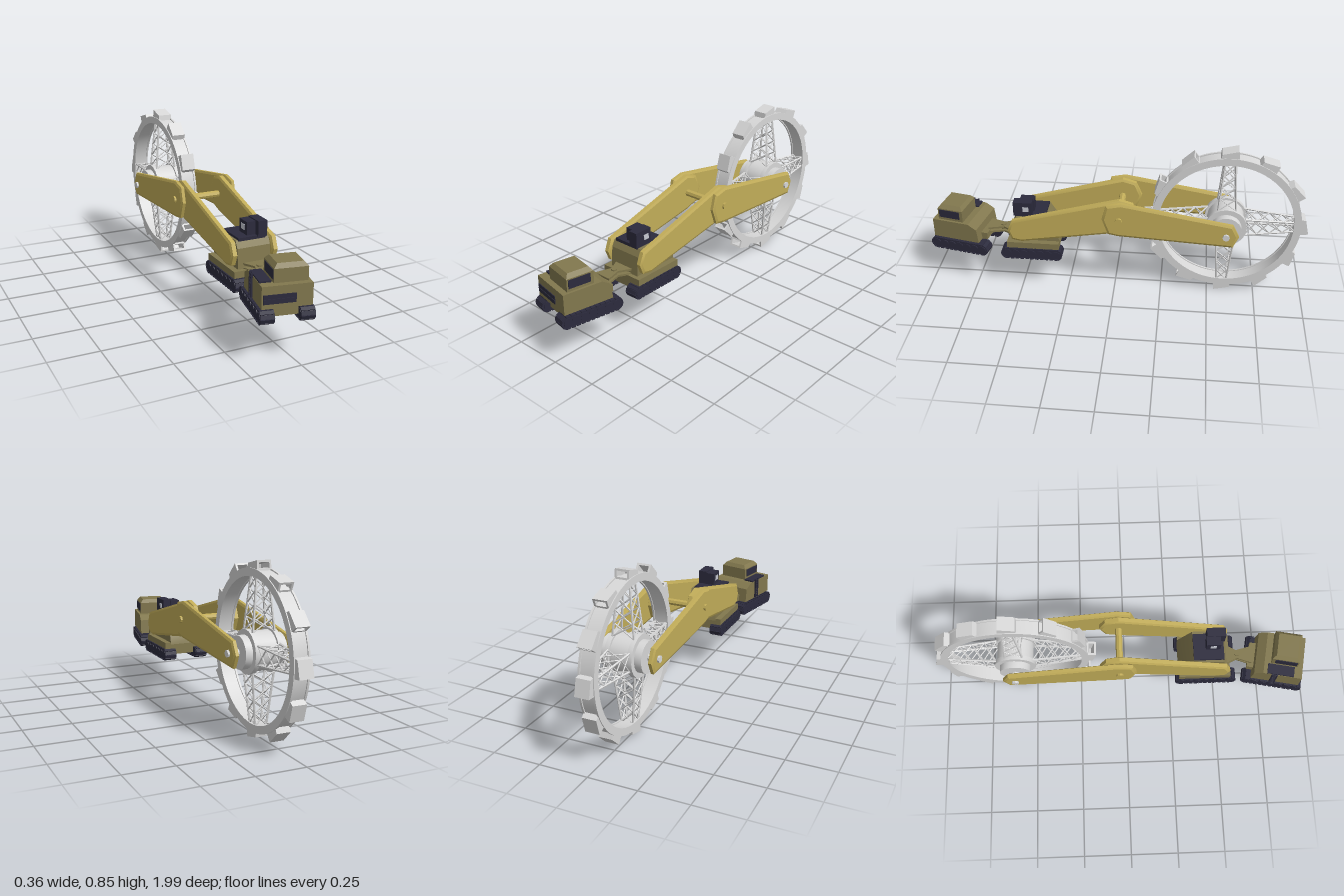
import * as THREE from 'three';
import { toCreasedNormals } from 'three/addons/utils/BufferGeometryUtils.js';

const mat = (name, color) => {
  const m = new THREE.MeshStandardMaterial({ color });
  m.name = name;
  return m;
};
const yellow = mat('boom yellow', 0xc2ad59);
const olive = mat('olive body', 0x82784e);
const dark = mat('dark navy', 0x2c2b3d);
const steel = mat('light steel', 0xd8d8d8);
const glass = mat('pale glass', 0xc6c9d2);

function add(parent, name, geo, material, x = 0, y = 0, z = 0) {
  const m = new THREE.Mesh(toCreasedNormals(geo, 0.4), material);
  m.name = name;
  m.position.set(x, y, z);
  parent.add(m);
  return m;
}
function group(parent, name, x = 0, y = 0, z = 0) {
  const g = new THREE.Group();
  g.name = name;
  g.position.set(x, y, z);
  parent.add(g);
  return g;
}
// box given by its limits on each axis
function box(parent, name, material, [x0, x1], [y0, y1], [z0, z1]) {
  return add(parent, name, new THREE.BoxGeometry(x1 - x0, y1 - y0, z1 - z0), material,
    (x0 + x1) / 2, (y0 + y1) / 2, (z0 + z1) / 2);
}
// side profile of [z, y] points, extruded across x and centred on x = 0
function sideGeo(shape, width, bevel = 0) {
  if (Array.isArray(shape)) shape = new THREE.Shape(shape.map(p => new THREE.Vector2(...p)));
  const depth = width - bevel;
  const g = new THREE.ExtrudeGeometry(shape, {
    depth, curveSegments: 36, bevelEnabled: bevel > 0, bevelSegments: 1,
    bevelThickness: bevel / 2, bevelSize: bevel, bevelOffset: -bevel,
  });
  return g.translate(0, 0, -depth / 2).rotateY(-Math.PI / 2);
}
// cylinder lying along x
const shaft = (r, len, sides) => new THREE.CylinderGeometry(r, r, len, sides).rotateZ(Math.PI / 2);

// thin strut between two points
function strut(parent, name, a, b, r) {
  const dir = b.clone().sub(a);
  const m = add(parent, name, new THREE.CylinderGeometry(r, r, dir.length(), 5), steel);
  m.position.copy(a).add(b).multiplyScalar(0.5);
  m.quaternion.setFromUnitVectors(new THREE.Vector3(0, 1, 0), dir.normalize());
}

// pair of crawler tracks, 0.33 long
function tracks(parent) {
  const r = 0.03, half = 0.13, cy = 0.223;
  const belt = new THREE.Shape();
  belt.absarc(half, 0, r, -Math.PI / 2, Math.PI / 2, false);
  belt.absarc(-half, 0, r, Math.PI / 2, Math.PI * 1.5, false);
  for (const s of [-1, 1]) {
    const t = group(parent, 'track', s * 0.093, cy, 0);
    add(t, 'trackBelt', sideGeo(belt, 0.058), dark);
    for (let i = 0; i < 7; i++) {
      const z = -half + i * half / 3;
      add(t, 'roadWheel', shaft(0.023, 0.066, 12), dark, 0, 0, z);
    }
    for (let i = 0; i < 11; i++) {
      const z = -half + i * half / 5;
      for (const e of [-1, 1]) add(t, 'trackShoe', new THREE.BoxGeometry(0.065, 0.006, 0.018), dark, 0, e * r, z);
    }
    for (const e of [-1, 1]) for (let i = 0; i < 4; i++) {
      const a = (i - 1.5) * 0.65;
      const shoe = add(t, 'endShoe', new THREE.BoxGeometry(0.065, 0.018, 0.006), dark,
        0, r * Math.sin(a), e * (half + r * Math.cos(a)));
      shoe.rotation.x = -a * e;
    }
  }
}

function bucketWheel(parent) {
  const w = group(parent, 'bucketWheel', 0, 0.42, -0.575);
  // rim with thin side flanges
  const ring = (ro, ri) => {
    const s = new THREE.Shape().absarc(0, 0, ro, 0, Math.PI * 2);
    s.holes.push(new THREE.Path().absarc(0, 0, ri, 0, Math.PI * 2));
    return s;
  };
  add(w, 'rim', sideGeo(ring(0.379, 0.352), 0.07), steel);
  for (const s of [-1, 1]) add(w, 'rimFlange', sideGeo(ring(0.385, 0.347), 0.01), steel, s * 0.036);
  // hub
  add(w, 'hubDrum', shaft(0.095, 0.13, 20), steel);
  for (const s of [-1, 1]) {
    add(w, 'hubFlange', shaft(0.107, 0.024, 20), steel, s * 0.06);
    add(w, 'hubCollar', shaft(0.08, 0.04, 20), steel, s * 0.088);
  }
  add(w, 'axle', shaft(0.018, 0.336, 8), steel);
  // lattice spokes
  const V = (x, y, z) => new THREE.Vector3(x, y, z);
  const corner = (k, t) => {
    const hx = 0.056 - 0.026 * t, hz = 0.045 - 0.019 * t;
    return V(k === 0 || k === 3 ? hx : -hx, 0.095 + 0.26 * t, k < 2 ? hz : -hz);
  };
  for (let q = 0; q < 4; q++) {
    const spoke = group(w, 'spoke');
    spoke.rotation.x = q * Math.PI / 2;
    for (let k = 0; k < 4; k++) {
      const n = (k + 1) % 4;
      strut(spoke, 'spokeChord', corner(k, 0), corner(k, 1), 0.006);
      for (let i = 0; i < 4; i++) {
        const a = i / 4, b = (i + 1) / 4;
        strut(spoke, 'spokeBrace', corner(k, a), corner(n, b), 0.0035);
        strut(spoke, 'spokeBrace', corner(n, a), corner(k, b), 0.0035);
      }
    }
  }
  // open buckets: two cheeks and a bent shell
  const cheek = [[0.05, 0.37], [0.045, 0.404], [-0.037, 0.424], [-0.043, 0.37]];
  const shell = [[0.05, 0.37], [0.045, 0.404], [-0.037, 0.424], [-0.038, 0.414], [0.036, 0.396], [0.04, 0.37]];
  const lip = [[-0.02, 0.37], [-0.02, 0.386], [-0.041, 0.386], [-0.043, 0.37]];
  for (let i = 0; i < 12; i++) {
    const b = group(w, 'bucket');
    b.rotation.x = i * Math.PI / 6;
    for (const s of [-1, 1]) add(b, 'bucketCheek', sideGeo(cheek, 0.01), steel, s * 0.0315);
    add(b, 'bucketShell', sideGeo(shell, 0.054), steel);
    add(b, 'bucketLip', sideGeo(lip, 0.054), steel);
  }
}

function booms(parent) {
  const lower = [[0.555, 0.365], [0.53, 0.425], [-0.03, 0.58], [-0.1, 0.56], [-0.132, 0.485],
    [-0.1, 0.41], [-0.03, 0.388], [0.484, 0.302], [0.535, 0.312]];
  const upper = [[0.056, 0.484], [0.035, 0.564], [-0.04, 0.58], [-0.607, 0.484], [-0.64, 0.42],
    [-0.612, 0.356], [-0.03, 0.388], [0.025, 0.398]];
  for (const s of [-1, 1]) {
    add(parent, 'lowerBoom', sideGeo(lower, 0.033, 0.012), yellow, s * 0.1085);
    add(parent, 'upperBoom', sideGeo(upper, 0.028, 0.012), yellow, s * 0.1435);
  }
  add(parent, 'elbowShaft', shaft(0.018, 0.336, 8), yellow, 0, 0.484, -0.03);
}

function carrier(parent) {
  const c = group(parent, 'boomCarrier');
  const t = group(c, 'carrierTracks', 0, 0, 0.435);
  tracks(t);
  box(c, 'underframe', olive, [-0.06, 0.06], [0.215, 0.26], [0.32, 0.55]);
  box(c, 'fenderSlab', olive, [-0.118, 0.118], [0.255, 0.29], [0.29, 0.565]);
  add(c, 'housing', sideGeo([[0.545, 0.28], [0.535, 0.39], [0.515, 0.425], [0.36, 0.425],
    [0.295, 0.32], [0.285, 0.28]], 0.175), olive);
  box(c, 'deck', dark, [-0.075, 0.07], [0.42, 0.436], [0.36, 0.52]);
  box(c, 'cab', dark, [0.026, 0.074], [0.43, 0.508], [0.43, 0.528]);
  box(c, 'cabRear', dark, [-0.02, 0.03], [0.43, 0.502], [0.425, 0.5]);
  box(c, 'cabWindow', glass, [0.072, 0.077], [0.457, 0.484], [0.447, 0.478]);
  box(c, 'cabWindow', glass, [-0.023, -0.018], [0.457, 0.484], [0.447, 0.478]);
}

function leadTruck(parent) {
  const t = group(parent, 'leadTruck', -0.024, 0, 0.81);
  t.rotation.y = -0.2;
  tracks(t);
  box(t, 'underframe', olive, [-0.06, 0.06], [0.215, 0.27], [-0.11, 0.12]);
  add(t, 'body', sideGeo([[0.143, 0.262], [0.143, 0.367], [-0.06, 0.367], [-0.105, 0.34], [-0.115, 0.262]], 0.234), olive);
  box(t, 'rearStep', olive, [-0.07, 0.07], [0.262, 0.3], [-0.145, -0.1]);
  // cabin with a chamfered roof
  const cx = 0.025, cz = 0.044;
  box(t, 'cabin', olive, [cx - 0.079, cx + 0.079], [0.36, 0.432], [cz - 0.07, cz + 0.07]);
  const roof = new THREE.CylinderGeometry(0.78 * Math.SQRT1_2, Math.SQRT1_2, 0.02, 4, 1).rotateY(Math.PI / 4);
  add(t, 'roof', roof.scale(0.158, 1, 0.14), olive, cx, 0.442, cz);
  for (const s of [-1, 1]) {
    add(t, 'sideWindow', new THREE.BoxGeometry(0.006, 0.044, 0.115), dark, cx + s * 0.079, 0.404, cz + 0.005);
  }
  // front grille with a dividing rib
  box(t, 'frontGrille', dark, [-0.11, 0.04], [0.285, 0.328], [0.141, 0.147]);
  box(t, 'grilleRib', dark, [-0.11, 0.04], [0.305, 0.309], [0.145, 0.15]);
  // side walkway and ladder
  box(t, 'walkway', dark, [-0.115, -0.06], [0.366, 0.375], [-0.04, 0.1]);
  for (const z of [-0.012, 0.012]) box(t, 'ladderRail', dark, [-0.126, -0.117], [0.265, 0.38], [z - 0.003, z + 0.003]);
  for (let i = 0; i < 7; i++) {
    const y = 0.272 + i * 0.016;
    box(t, 'ladderRung', dark, [-0.124, -0.117], [y, y + 0.006], [-0.012, 0.012]);
  }
}

// articulated hitch: two hourglass plates around a pin
function hitch(parent) {
  const h = group(parent, 'hitch', -0.01, 0, 0);
  const s = new THREE.Shape([[-0.05, 0.54], [0.06, 0.54], [0.025, 0.6], [0.045, 0.68], [-0.05, 0.68], [-0.02, 0.6]]
    .map(([x, z]) => new THREE.Vector2(x, -z)));
  for (const y of [0.285, 0.308]) {
    const g = new THREE.ExtrudeGeometry(s, { depth: 0.01, bevelEnabled: false }).rotateX(-Math.PI / 2);
    add(h, 'hitchPlate', g, olive, 0, y, 0);
  }
  add(h, 'hitchPin', new THREE.CylinderGeometry(0.014, 0.014, 0.046, 10), olive, 0.003, 0.302, 0.605);
}

export function createModel() {
  const model = new THREE.Group();
  model.name = 'bucketWheelMachine';
  const main = group(model, 'mainMachine', 0.01, 0, 0);
  bucketWheel(main);
  booms(main);
  carrier(main);
  hitch(main);
  leadTruck(model);
  return model;
}
